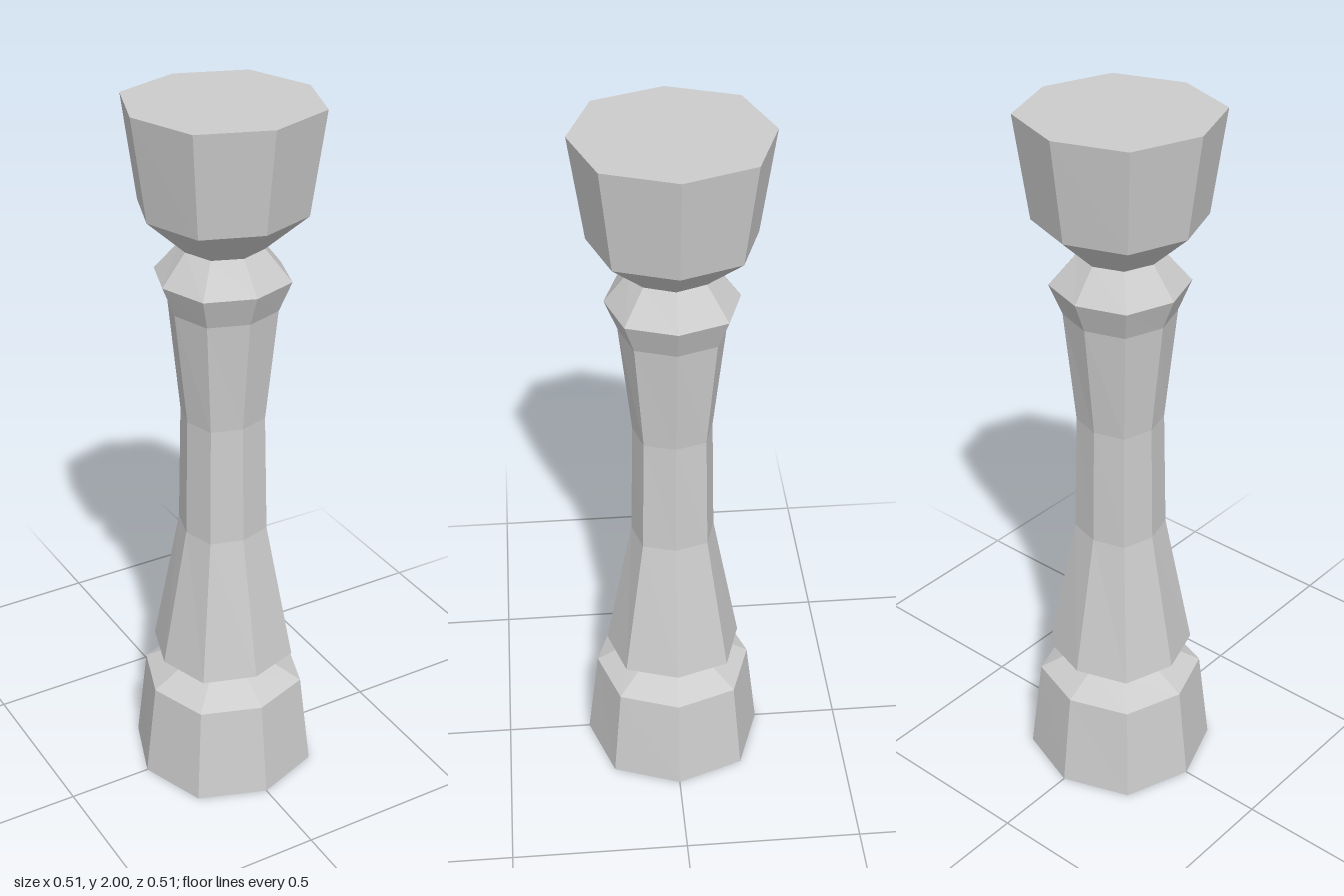
import * as THREE from 'three';

// Each ring: [height, reach of the corners on the axes, x and z of the diagonal corners]
const BASE = [[0, 0.257, 0.189], [0.28, 0.224, 0.166], [0.333, 0.134, 0.098]];
const SHAFT = [
  [0.333, 0.134, 0.098], [0.37, 0.193, 0.146], [0.785, 0.116, 0.09], [1.13, 0.109, 0.084],
  [1.45, 0.143, 0.107], [1.535, 0.177, 0.132], [1.62, 0.11, 0.08],
];
const CAPITAL = [[1.62, 0.11, 0.08], [1.72, 0.218, 0.161], [2, 0.257, 0.189]];

// Eight-sided turned section whose diagonal corners have their own reach
function turned(name, rings, material, capBottom, capTop) {
  const points = rings.map(([y, r]) => new THREE.Vector2(r, y));
  const diagonals = rings.map(([, , d]) => d * Math.SQRT2);
  if (capBottom) {
    points.unshift(new THREE.Vector2(0, rings[0][0]));
    diagonals.unshift(0);
  }
  if (capTop) {
    points.push(new THREE.Vector2(0, rings[rings.length - 1][0]));
    diagonals.push(0);
  }
  const geometry = new THREE.LatheGeometry(points, 8);
  const pos = geometry.attributes.position;
  for (let i = 0; i < pos.count; i++) {
    const side = Math.floor(i / points.length);
    if (side % 2 === 0) continue;
    const angle = side * Math.PI / 4;
    const r = diagonals[i % points.length];
    pos.setX(i, r * Math.sin(angle));
    pos.setZ(i, r * Math.cos(angle));
  }
  const faceted = geometry.toNonIndexed();
  faceted.computeVertexNormals();
  const mesh = new THREE.Mesh(faceted, material);
  mesh.name = name;
  return mesh;
}

export function createModel() {
  const stone = new THREE.MeshStandardMaterial({ color: 0xcccccc, flatShading: true });
  stone.name = 'light grey stone';

  const group = new THREE.Group();
  group.name = 'baluster';
  group.add(
    turned('base', BASE, stone, true, false),
    turned('shaft', SHAFT, stone, false, false),
    turned('capital', CAPITAL, stone, false, true),
  );
  return group;
}
